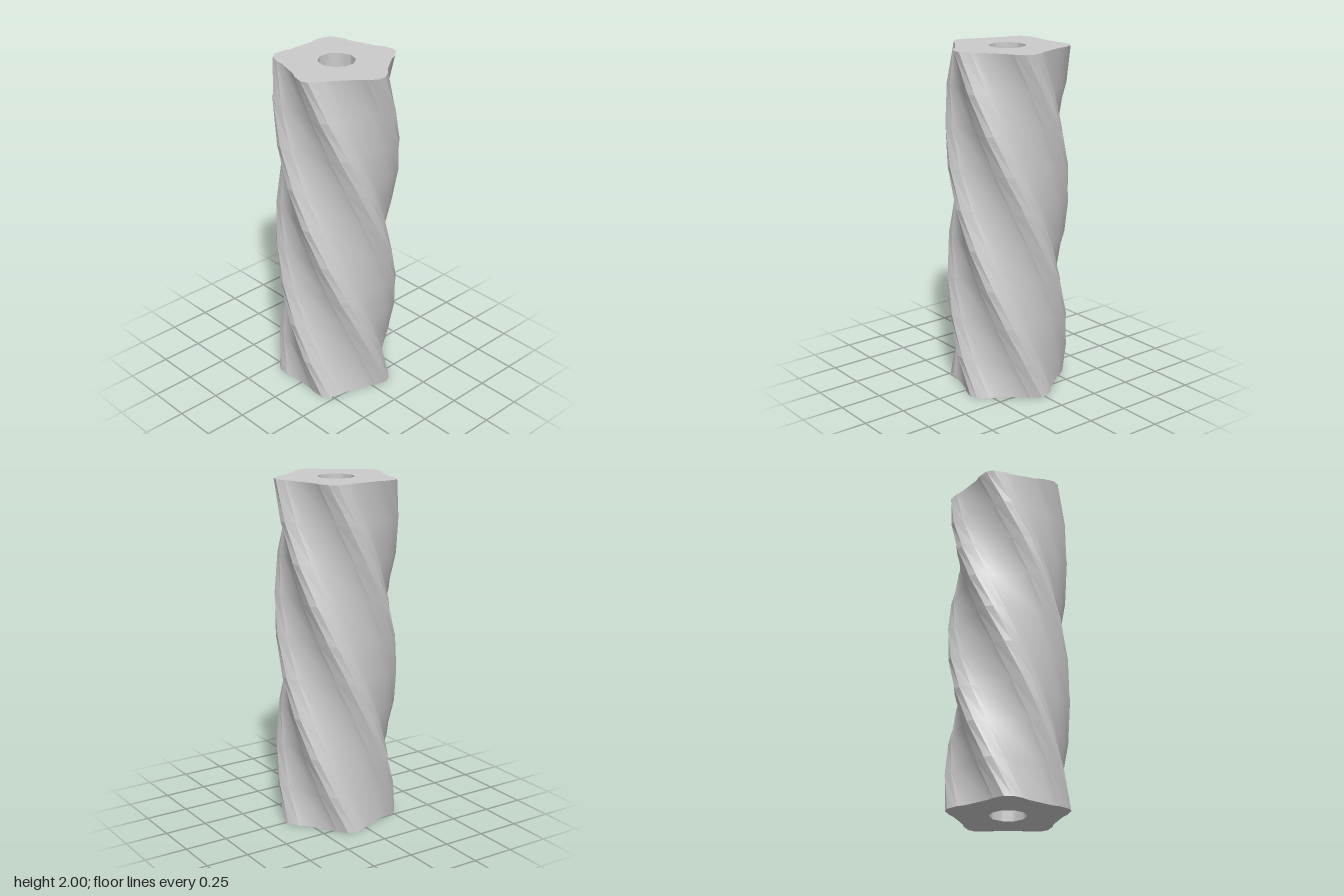
import * as THREE from 'three';
import { toCreasedNormals } from 'three/addons/utils/BufferGeometryUtils.js';

const HEIGHT = 2;
const LOBES = 5;
const STEPS = 9;
const TWIST = THREE.MathUtils.degToRad(162);

// Half of one lobe: [degrees from the ridge, radius]
const HALF_LOBE = [[3.7, 0.35], [14.3, 0.322], [21.2, 0.299]];

// Star-like cross-section with a ten-sided bore
function crossSection() {
  const lobe = [
    ...HALF_LOBE.map(([a, r]) => [-a, r]).reverse(),
    ...HALF_LOBE,
  ];
  const points = [];
  for (let i = 0; i < LOBES; i++) {
    for (const [a, r] of lobe) {
      const t = THREE.MathUtils.degToRad(a + (i * 360) / LOBES - 90);
      points.push(new THREE.Vector2(r * Math.cos(t), r * Math.sin(t)));
    }
  }
  const shape = new THREE.Shape(points);

  const bore = [];
  for (let i = 0; i < 10; i++) {
    const t = (i / 10) * Math.PI * 2;
    bore.push(new THREE.Vector2(0.105 * Math.cos(t), 0.105 * Math.sin(t)));
  }
  shape.holes.push(new THREE.Path(bore));
  return shape;
}

// Turn each layer about the vertical axis, the top layer staying put
function twist(geometry) {
  const pos = geometry.attributes.position;
  const v = new THREE.Vector3();
  const up = new THREE.Vector3(0, 1, 0);
  for (let i = 0; i < pos.count; i++) {
    v.fromBufferAttribute(pos, i);
    v.applyAxisAngle(up, TWIST * (1 - v.y / HEIGHT));
    pos.setXYZ(i, v.x, v.y, v.z);
  }
  return geometry;
}

export function createModel() {
  const group = new THREE.Group();
  group.name = 'twistedColumn';

  const geometry = new THREE.ExtrudeGeometry(crossSection(), {
    depth: HEIGHT,
    steps: STEPS,
    bevelEnabled: false,
  });
  geometry.rotateX(-Math.PI / 2);
  twist(geometry);

  // Smooth flutes, sharp end rims and bore facets
  const column = new THREE.Mesh(
    toCreasedNormals(geometry, 0.6),
    new THREE.MeshStandardMaterial({ color: 0xcccccc })
  );
  column.name = 'flutedShaft';
  group.add(column);
  return group;
}
